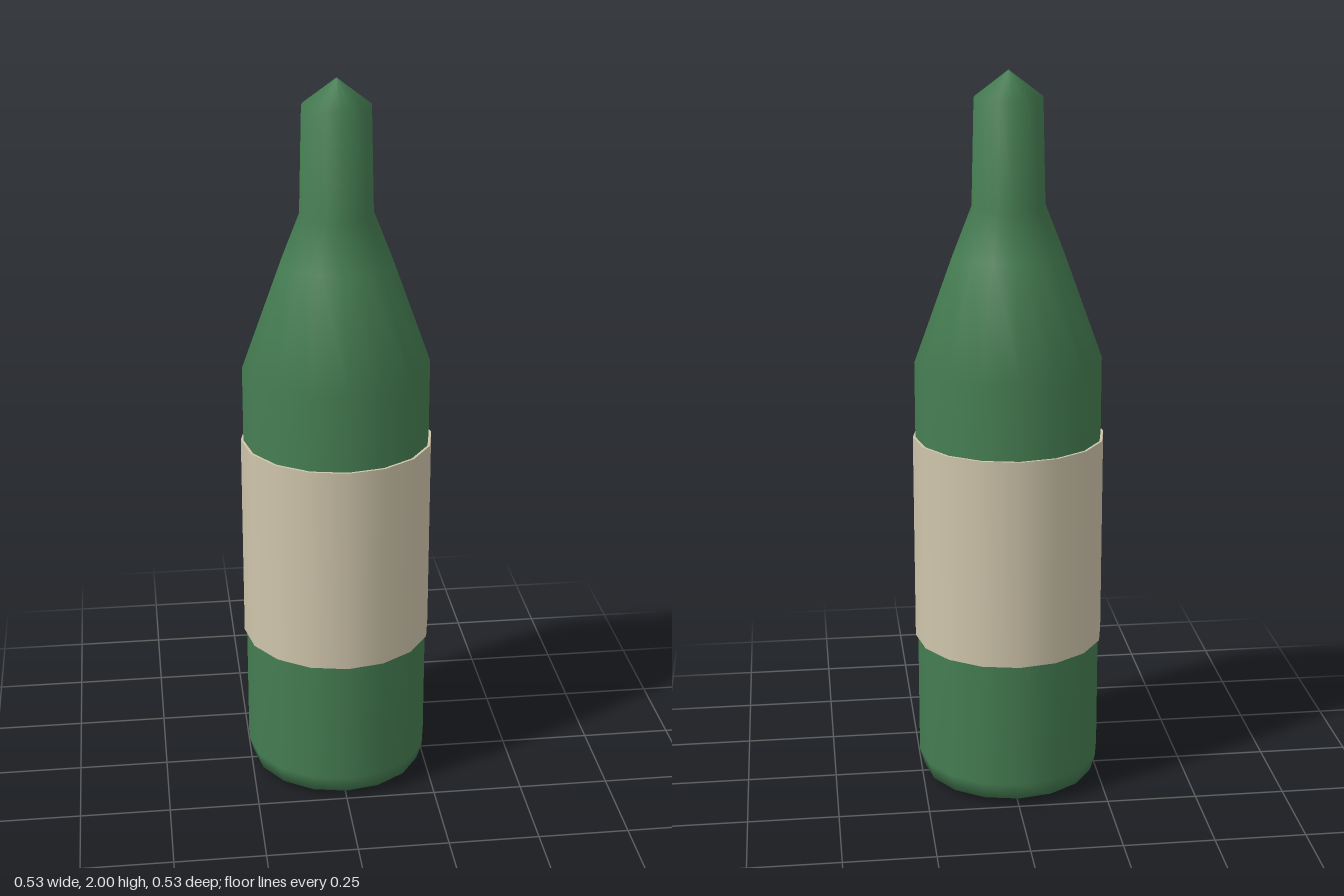
import * as THREE from 'three';

const SIDES = 16;

// Turns a [radius, height] profile, listed bottom to top, around the y axis
function turned(profile) {
  return new THREE.LatheGeometry(profile.map(([r, y]) => new THREE.Vector2(r, y)), SIDES);
}

export function createModel() {
  const bottle = new THREE.Group();
  bottle.name = 'bottle';
  const glass = new THREE.MeshStandardMaterial({ color: 0x457d52 });
  const paper = new THREE.MeshStandardMaterial({ color: 0xcfc5ab });

  // Glass body: shallow pointed base, straight wall, shoulder, neck and pointed tip
  const body = new THREE.Mesh(turned([
    [0, 0], [0.242, 0.02], [0.257, 0.07], [0.257, 1.22],
    [0.152, 1.51], [0.099, 1.645], [0.092, 1.93], [0, 2],
  ]), glass);
  body.name = 'glassBody';
  bottle.add(body);

  // Label band: each strip is turned separately so its rims stay sharp
  const label = new THREE.Group();
  label.name = 'label';
  const inner = 0.257, outer = 0.264, low = 0.425, high = 1.01;
  const strips = {
    labelLowerRim: [[inner, low], [outer, low]],
    labelWrap: [[outer, low], [outer, high]],
    labelUpperRim: [[outer, high], [inner, high]],
  };
  for (const [name, profile] of Object.entries(strips)) {
    const strip = new THREE.Mesh(turned(profile), paper);
    strip.name = name;
    label.add(strip);
  }
  bottle.add(label);

  return bottle;
}
